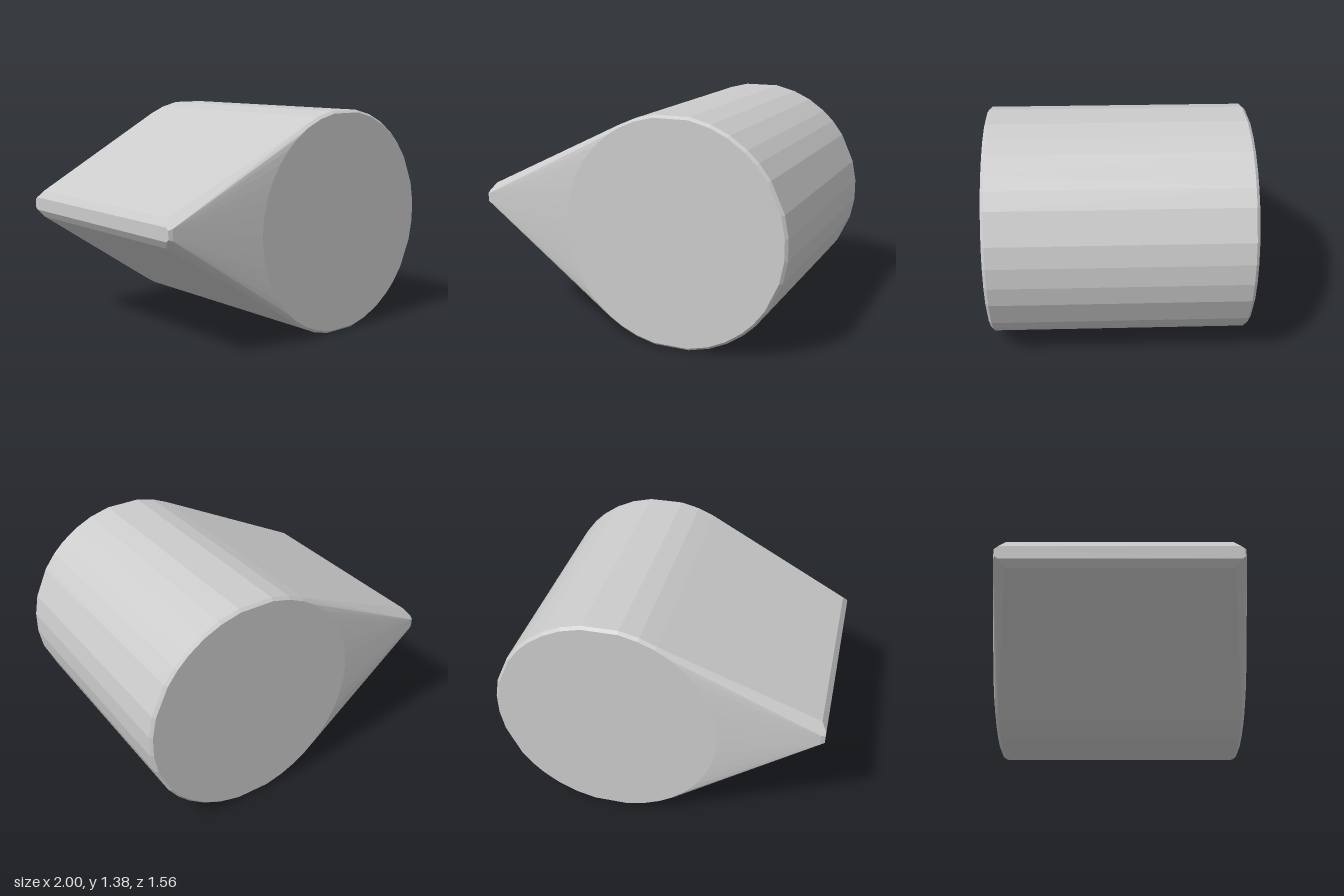
import * as THREE from 'three';
import { ConvexGeometry } from 'three/addons/geometries/ConvexGeometry.js';

export function createModel() {
  const group = new THREE.Group();
  const points = [];
  const both = (x, y, z) => points.push(new THREE.Vector3(x, y, z), new THREE.Vector3(x, y, -z));

  // Drum: rim points, and slightly smaller end caps for the bevel
  const cx = 0.303, cy = 0.697, radius = 0.7;
  const half = [5.4, 16.3, 32.6, 42, 49.7, 60, 70, 81, 99, 109, 118, 126, 135, 144, 153, 162, 171];
  const angles = [...half, 180, ...half.map((a) => -a)];
  for (const deg of angles) {
    const a = THREE.MathUtils.degToRad(deg);
    const c = Math.cos(a), s = Math.sin(a);
    both(cx + c * radius, cy + s * radius, 0.762);
    both(cx + c * (radius - 0.016), cy + s * (radius - 0.016), 0.78);
  }

  // Wedge nose: blunt edge with chamfered corners
  both(-0.97, 0.86, 0.65);
  both(-0.97, 0.69, 0.65);
  both(-1, 0.815, 0.69);
  both(-1, 0.735, 0.69);
  both(-1, 0.8, 0.708);
  both(-1, 0.75, 0.708);
  both(-0.975, 0.81, 0.718);
  both(-0.975, 0.74, 0.718);

  const body = new THREE.Mesh(
    new ConvexGeometry(points),
    new THREE.MeshStandardMaterial({ color: 0xcccccc, flatShading: true })
  );
  body.name = 'teardropBody';
  group.add(body);
  return group;
}
